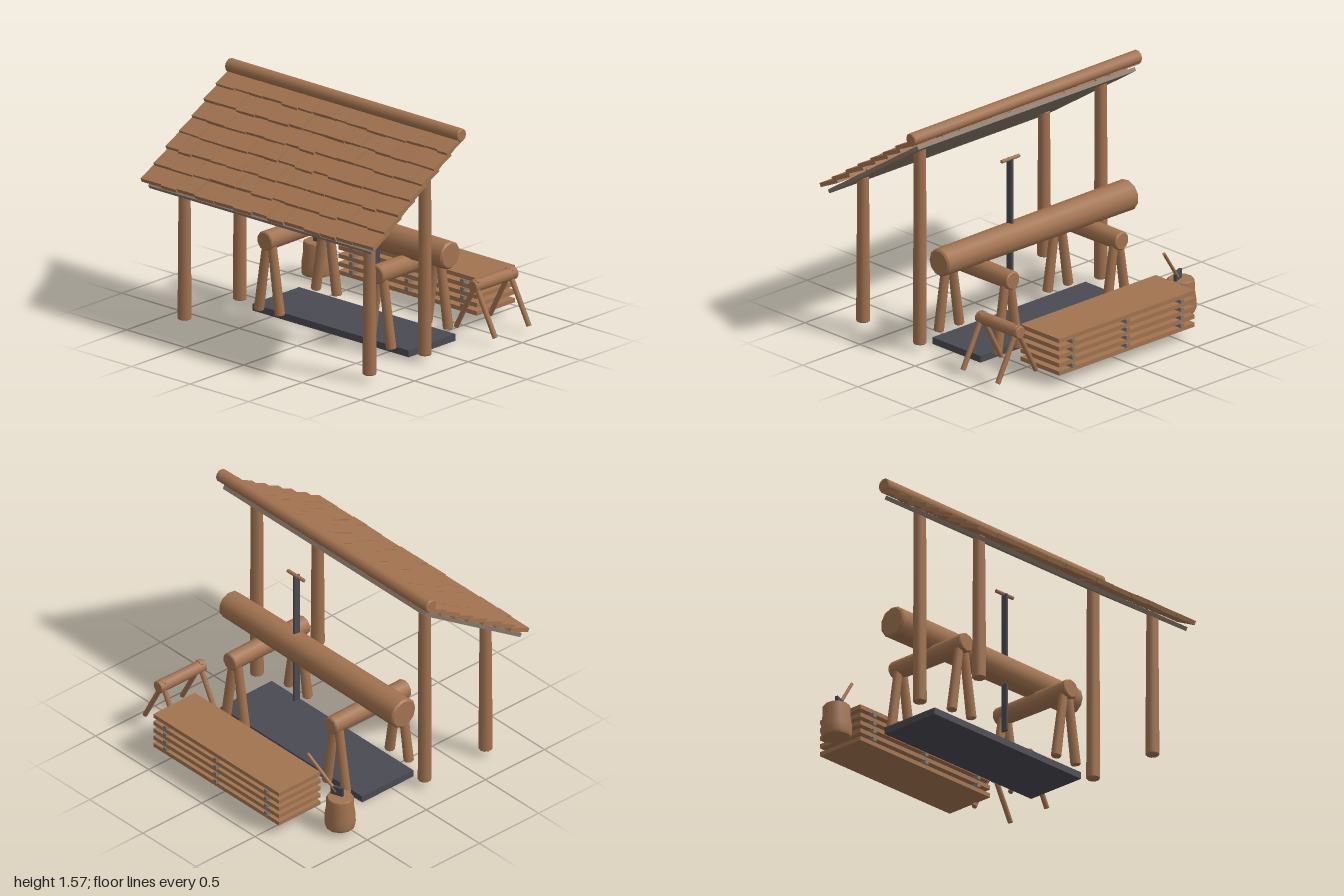
import * as THREE from 'three';

const material = (name, color) => Object.assign(new THREE.MeshStandardMaterial({ color }), { name });

export function createModel() {
  const wood = material('wood', 0xa27350);
  const greyWood = material('weathered wood', 0x85776a);
  const iron = material('dark iron', 0x4a4a52);

  const model = new THREE.Group();
  model.name = 'sawmillShelter';

  // seeded random in -1..1
  let seed = 7;
  const rand = () => {
    seed = (seed * 16807) % 2147483647;
    return (seed / 2147483647) * 2 - 1;
  };

  const box = (name, w, h, d, x, y, z, mat, parent = model) => {
    const mesh = new THREE.Mesh(new THREE.BoxGeometry(w, h, d), mat);
    mesh.name = name;
    mesh.position.set(x, y, z);
    parent.add(mesh);
    return mesh;
  };

  // hewn log between two points, with chamfered ends and a slight taper
  const log = (name, from, to, r1, r2 = r1, sides = 10, parent = model) => {
    const a = new THREE.Vector3(...from), b = new THREE.Vector3(...to);
    const len = a.distanceTo(b), c = Math.min(r1, r2) * 0.13;
    const profile = [
      [0, 0], [r1 - c, 0], [r1 - c, 0], [r1, c], [r1, c],
      [(r1 + r2) / 2 * (1 + rand() * 0.02), len / 2],
      [r2, len - c], [r2, len - c], [r2 - c, len], [r2 - c, len], [0, len],
    ].map(([r, y]) => new THREE.Vector2(r, y));
    // separate lathes per band keep the end edges crisp
    const group = new THREE.Group();
    group.name = name;
    const bands = [['endCap', 0, 2], ['chamfer', 2, 4], ['bark', 4, 7], ['chamfer', 7, 9], ['endCap', 9, 11]];
    for (const [part, s, e] of bands) {
      const mesh = new THREE.Mesh(new THREE.LatheGeometry(profile.slice(s, e), sides), wood);
      mesh.name = part;
      group.add(mesh);
    }
    group.position.copy(a);
    group.quaternion.setFromUnitVectors(new THREE.Vector3(0, 1, 0), b.sub(a).normalize());
    parent.add(group);
    return group;
  };

  // roof: sloped board with seven overlapping rows of shingles
  const roof = new THREE.Group();
  roof.name = 'roof';
  roof.position.set(0, 1.19, 0.437);
  roof.rotation.x = 0.583;
  model.add(roof);
  box('roofBoard', 1.9, 0.026, 0.97, -0.005, 0, 0, greyWood, roof);

  const tileLength = 0.17, tilt = 0.14;
  for (let row = 0; row < 7; row++) {
    const lowerEdge = 0.492 - row * 0.139;
    let x = -0.99 + rand() * 0.005;
    while (x < 0.985) {
      let w = 0.145 + rand() * 0.04;
      if (0.985 - x - w < 0.08) w = 0.99 - x;
      const tile = box('shingle', w - 0.004, 0.028, tileLength,
        x + w / 2, 0.044 + rand() * 0.003, lowerEdge - tileLength / 2 + rand() * 0.008, wood, roof);
      tile.rotation.set(-tilt, rand() * 0.02, rand() * 0.015);
      x += w;
    }
  }
  log('ridgeLog', [-0.993, 1.525, 0.052], [0.993, 1.518, 0.05], 0.046, 0.043);

  // roof posts
  for (const x of [-0.79, 0.79]) {
    log('frontPost', [x, 0.045, 0.69], [x, 1.03, 0.69], 0.045, 0.038);
    log('backPost', [x, 0.045, 0.175], [x, 1.39, 0.175], 0.044, 0.04);
  }

  // big log resting on two trestles
  log('sawLog', [-0.83, 0.66, -0.033], [0.825, 0.658, -0.03], 0.103, 0.092, 11);
  for (const x of [-0.478, 0.473]) {
    const trestle = new THREE.Group();
    trestle.name = 'trestle';
    model.add(trestle);
    log('trestleBeam', [x, 0.53, -0.345], [x, 0.53, 0.29], 0.061, 0.065, 10, trestle);
    for (const z of [0.24, -0.29]) for (const s of [-1, 1]) {
      log('trestleLeg', [x + s * 0.09, 0.045, z], [x + s * 0.022, 0.5, z], 0.033, 0.029, 8, trestle);
    }
  }

  // base plate
  box('basePlate', 1.335, 0.045, 0.435, -0.002, 0.0225, -0.028, iron);

  // upright saw with a cross handle
  box('sawBlade', 0.014, 0.95, 0.045, 0.195, 0.715, -0.025, iron);
  log('sawHandle', [0.117, 1.19, -0.028], [0.273, 1.19, -0.028], 0.012, 0.012, 8);

  // stack of planks separated by thin stickers
  const stack = new THREE.Group();
  stack.name = 'plankStack';
  model.add(stack);
  for (let i = 0; i < 5; i++) {
    const y = 0.09 + i * 0.055;
    box('plank', 1.182, 0.028, 0.352, -0.002, y, -0.705, wood, stack);
    if (i < 4) for (const x of [-0.477, -0.002, 0.472]) {
      box('sticker', 0.027, 0.027, 0.378, x, y + 0.0275, -0.704, greyWood, stack);
    }
  }

  // small sawhorse with crossed legs
  const horse = new THREE.Group();
  horse.name = 'sawhorse';
  model.add(horse);
  log('sawhorseBeam', [0.75, 0.36, -0.7], [0.745, 0.36, -0.315], 0.042, 0.04, 10, horse);
  for (const z of [-0.66, -0.345]) for (const s of [-1, 1]) {
    log('sawhorseLeg', [0.747 + s * 0.167, 0.05, z], [0.747 - s * 0.018, 0.4, z], 0.017, 0.017, 8, horse);
  }

  // chopping stump with flared foot
  const stump = new THREE.Group();
  stump.name = 'choppingStump';
  stump.position.set(-0.795, 0.03, -0.545);
  model.add(stump);
  const stumpProfile = [[0, 0], [0.092, 0], [0.1, 0.02], [0.099, 0.08], [0.09, 0.14], [0.088, 0.21], [0.08, 0.22], [0, 0.22]]
    .map(([r, y]) => new THREE.Vector2(r, y));
  for (const [part, s, e] of [['stumpBase', 0, 2], ['stumpSide', 1, 7], ['stumpTop', 6, 8]]) {
    const mesh = new THREE.Mesh(new THREE.LatheGeometry(stumpProfile.slice(s, e), 11), wood);
    mesh.name = part;
    stump.add(mesh);
  }

  // axe stuck in the stump
  const head = box('axeHead', 0.085, 0.075, 0.02, -0.77, 0.272, -0.545, iron);
  head.rotation.set(0, 0.36, 0);
  log('axeHandle', [-0.765, 0.27, -0.548], [-0.575, 0.5, -0.622], 0.012, 0.011, 8);

  return model;
}
